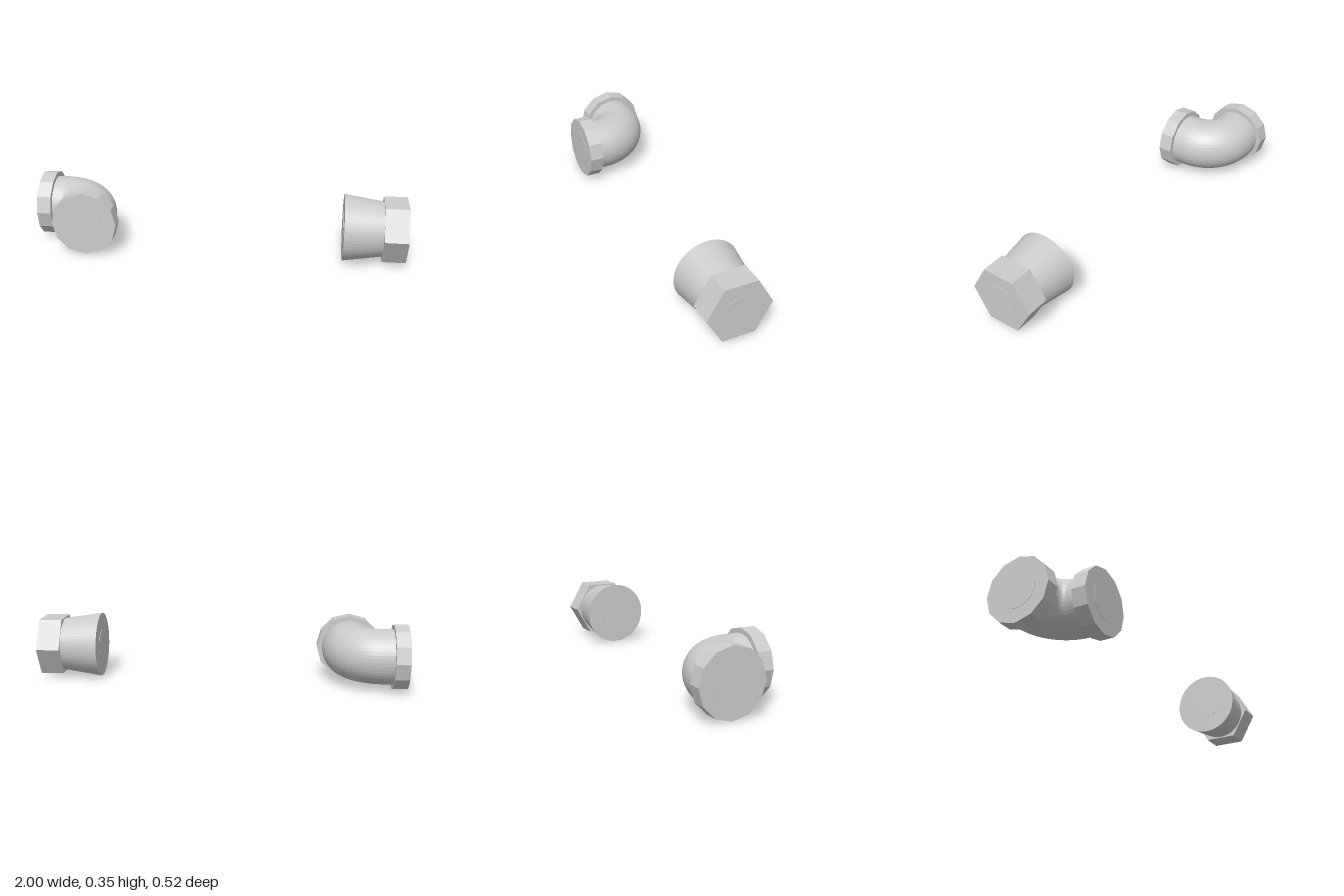
import * as THREE from 'three';

const AXIS_Y = 0.176;   // height of every pipe axis
const PIPE_R = 0.146;
const COLLAR_R = 0.174;
const BEND_R = 0.17;
const BEND = { x: -0.875, z: 0.083 }; // centre of the elbow's bend

export function createModel() {
  const model = new THREE.Group();
  model.name = 'pipeFittings';
  const material = new THREE.MeshStandardMaterial({ color: 0xcccccc, flatShading: true });

  function add(parent, name, geometry) {
    const mesh = new THREE.Mesh(geometry, material);
    mesh.name = name;
    parent.add(mesh);
    return mesh;
  }

  // Cylinder or cone lying along x, from x0 to x1, with r0 and r1 at its ends
  function alongX(parent, name, x0, x1, r0, r1, z, sides) {
    const geometry = new THREE.CylinderGeometry(r1, r0, x1 - x0, sides);
    geometry.rotateZ(-Math.PI / 2);
    return add(parent, name, geometry.translate((x0 + x1) / 2, AXIS_Y, z));
  }

  // Same, lying along z
  function alongZ(parent, name, z0, z1, r, x, sides) {
    const geometry = new THREE.CylinderGeometry(r, r, z1 - z0, sides);
    geometry.rotateX(Math.PI / 2);
    return add(parent, name, geometry.translate(x, AXIS_Y, (z0 + z1) / 2));
  }

  // Elbow: quarter bend, two short straights, two twelve-sided collars
  const elbow = new THREE.Group();
  elbow.name = 'elbow';
  const bend = new THREE.TorusGeometry(BEND_R, PIPE_R, 48, 24, Math.PI / 2);
  bend.rotateZ(-Math.PI / 2).rotateX(Math.PI / 2).translate(BEND.x, AXIS_Y, BEND.z);
  add(elbow, 'bend', bend);

  const sideZ = BEND.z - BEND_R;
  const frontX = BEND.x + BEND_R;
  alongX(elbow, 'sidePipe', -0.95, BEND.x, PIPE_R, PIPE_R, sideZ, 48);
  alongX(elbow, 'sideCollar', -0.998, -0.922, COLLAR_R, COLLAR_R, sideZ, 12);
  alongX(elbow, 'sideEndDisc', -1, -0.99, 0.1, 0.1, sideZ, 48);
  alongZ(elbow, 'frontPipe', BEND.z, 0.16, PIPE_R, frontX, 48);
  alongZ(elbow, 'frontCollar', 0.13, 0.206, COLLAR_R, frontX, 12);
  alongZ(elbow, 'frontEndDisc', 0.198, 0.208, 0.1, frontX, 48);

  // Plug: tapered body with a hexagonal head
  const plug = new THREE.Group();
  plug.name = 'plug';
  alongX(plug, 'taperedBody', 0.667, 0.88, 0.176, 0.144, BEND.z, 64);
  alongX(plug, 'hexHead', 0.873, 0.998, COLLAR_R, COLLAR_R, BEND.z, 6);
  alongX(plug, 'headDisc', 0.99, 1, 0.085, 0.085, BEND.z, 48);
  alongX(plug, 'bodyDisc', 0.665, 0.675, 0.085, 0.085, BEND.z, 48);

  model.add(elbow, plug);
  return model;
}
